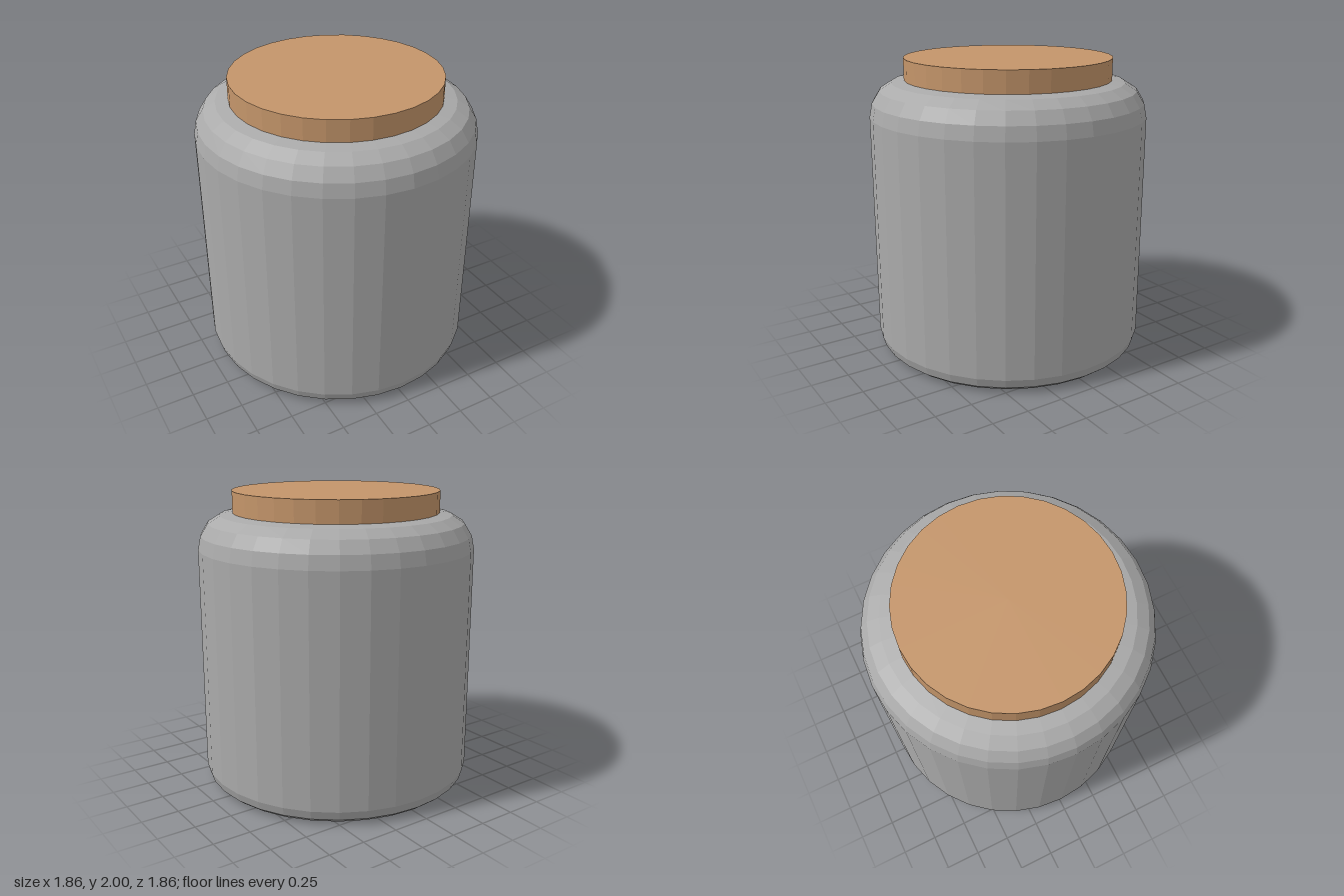
import * as THREE from 'three';

const SIDES = 32;

export function createModel() {
  const group = new THREE.Group();

  const grey = new THREE.MeshStandardMaterial({ color: 0xaaaaaa, flatShading: true });
  grey.name = 'grey jar';
  const cork = new THREE.MeshStandardMaterial({ color: 0xc4956a, flatShading: true });
  cork.name = 'cork brown';

  // Jar body: closed base, small bottom bevel, straight wall, rounded shoulder, closed top
  const profile = [
    [0, 0], [0.82, 0], [0.873, 0.01], [0.91, 0.04], [0.928, 0.1],
    [0.928, 1.62], [0.91, 1.71], [0.86, 1.79], [0.78, 1.84], [0.69, 1.856], [0, 1.856],
  ].map(([r, y]) => new THREE.Vector2(r, y));
  const body = new THREE.Mesh(new THREE.LatheGeometry(profile, SIDES), grey);
  body.name = 'jarBody';
  group.add(body);

  // Flat stopper lid seated on the shoulder
  const lid = new THREE.Mesh(new THREE.CylinderGeometry(0.695, 0.695, 0.145, SIDES), cork);
  lid.name = 'lid';
  lid.position.y = 2 - 0.145 / 2;
  group.add(lid);

  return group;
}
